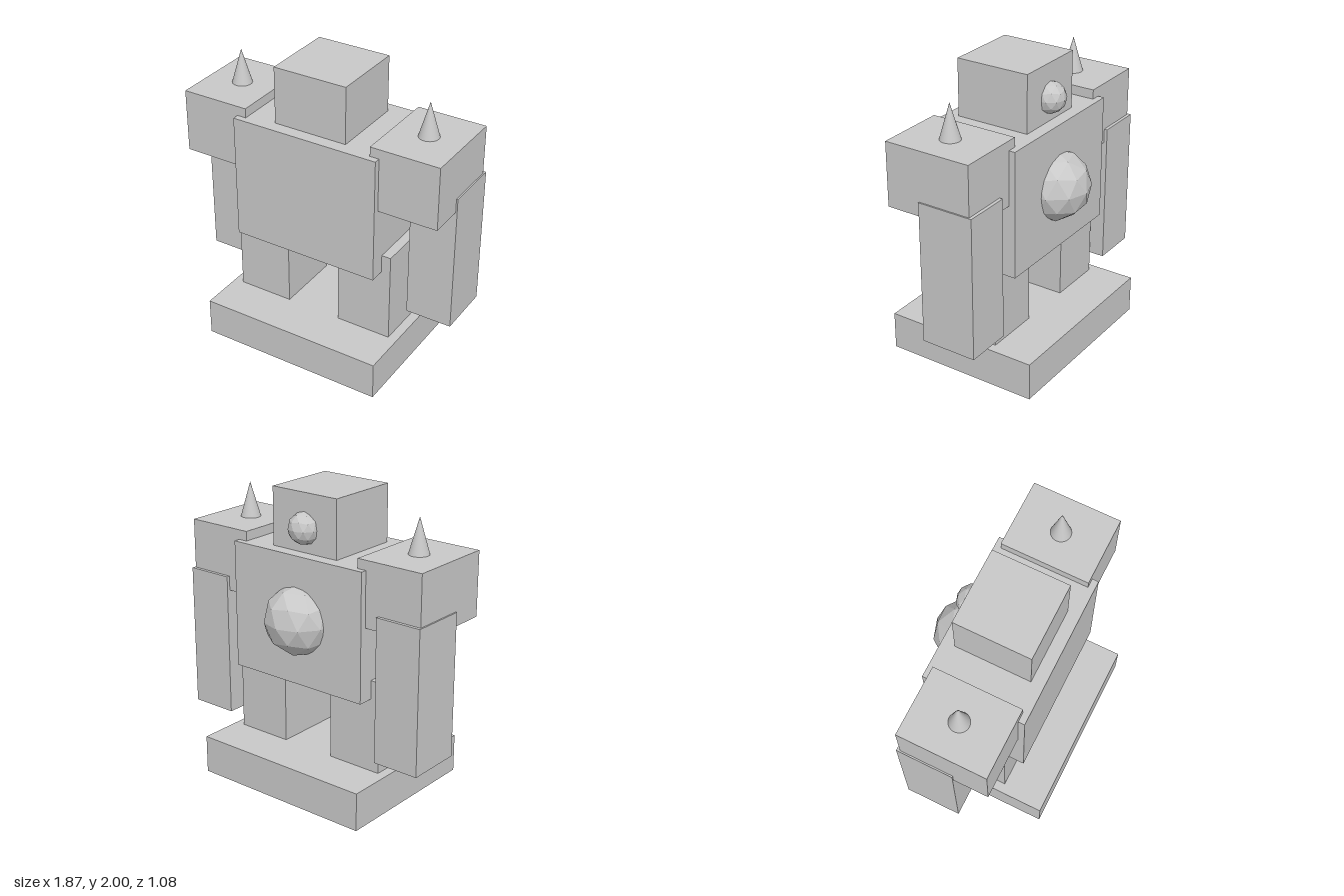
import * as THREE from 'three';

export function createModel() {
  const group = new THREE.Group();
  const stone = new THREE.MeshStandardMaterial({ color: 0xc8c8c8 });
  stone.name = 'pale stone grey';

  function add(name, geometry, x, y, z) {
    const mesh = new THREE.Mesh(geometry, stone);
    mesh.name = name;
    mesh.position.set(x, y, z);
    group.add(mesh);
  }

  // Block given by its lower and upper limits on each axis
  function block(name, [x0, x1], [y0, y1], [z0, z1]) {
    add(name, new THREE.BoxGeometry(x1 - x0, y1 - y0, z1 - z0),
      (x0 + x1) / 2, (y0 + y1) / 2, (z0 + z1) / 2);
  }

  // Faceted ball with a vertex at its top and bottom poles
  function knob(name, radius, y, z) {
    const ball = new THREE.IcosahedronGeometry(radius, 1);
    ball.rotateZ(-Math.atan(2 / (1 + Math.sqrt(5))));
    ball.computeVertexNormals(); // unshared corners give flat facets
    add(name, ball, 0, y, z);
  }

  // Central blocks
  block('base', [-0.644, 0.644], [0, 0.259], [-0.538, 0.538]);
  block('torso', [-0.516, 0.516], [0.756, 1.614], [-0.343, 0.343]);
  block('head', [-0.257, 0.257], [1.614, 2], [-0.257, 0.257]);

  // Mirrored limbs and shoulder spikes
  for (const [side, s] of [['left', 1], ['right', -1]]) {
    const span = (a, b) => (s > 0 ? [a, b] : [-b, -a]);
    block(side + 'Leg', span(0.193, 0.58), [0.259, 0.882], [-0.236, 0.236]);
    block(side + 'Shoulder', span(0.452, 0.924), [1.247, 1.678], [-0.3, 0.3]);
    block(side + 'Arm', span(0.614, 0.934), [0.378, 1.344], [-0.322, 0.062]);
    add(side + 'Spike', new THREE.ConeGeometry(0.067, 0.234, 32), s * 0.688, 1.795, 0);
  }

  // Knobs on the back
  knob('backKnob', 0.236, 1.185, -0.302);
  knob('headKnob', 0.106, 1.772, -0.257);

  return group;
}
